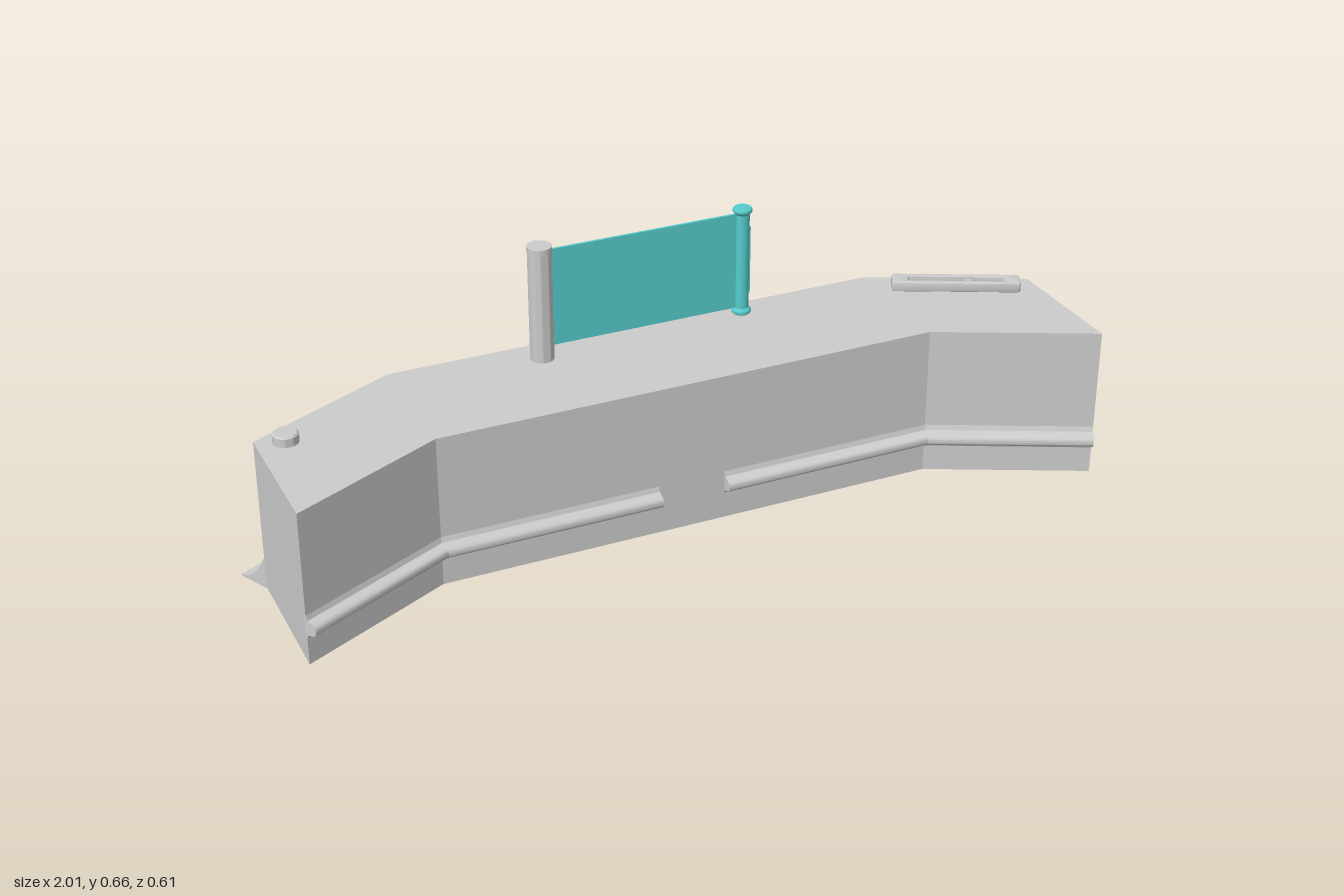
import * as THREE from 'three';
import { toCreasedNormals } from 'three/addons/utils/BufferGeometryUtils.js';

const grey = new THREE.MeshStandardMaterial({ color: 0xcccccc });
const teal = new THREE.MeshStandardMaterial({ color: 0x55cccc });
const black = new THREE.MeshStandardMaterial({ color: 0x080808 });
const TOP = 0.373;

const v2 = (x, y) => new THREE.Vector2(x, y);

function add(parent, name, geometry, material, x = 0, y = 0, z = 0) {
  const mesh = new THREE.Mesh(geometry, material);
  mesh.name = name;
  mesh.position.set(x, y, z);
  parent.add(mesh);
  return mesh;
}

// Sweep a closed [outward offset, height] profile along a plan path of [x, z], mitred at the bends.
function sweep(path, profile) {
  const normals = path.slice(1).map(([x, z], i) => v2(path[i][1] - z, x - path[i][0]).normalize());
  const pos = [], index = [], n = profile.length;
  path.forEach(([x, z], i) => {
    const a = normals[Math.max(i - 1, 0)], b = normals[Math.min(i, normals.length - 1)];
    const m = a.clone().add(b).divideScalar(1 + a.dot(b));
    for (const [o, y] of profile) pos.push(x + m.x * o, y, z + m.y * o);
  });
  for (let i = 0; i < path.length - 1; i++) {
    for (let j = 0; j < n; j++) {
      const k = (j + 1) % n, p = i * n, q = p + n;
      index.push(p + j, p + k, q + j, p + k, q + k, q + j);
    }
  }
  const last = (path.length - 1) * n;
  for (const [a, b, c] of THREE.ShapeUtils.triangulateShape(profile.map((p) => v2(...p)), [])) {
    index.push(a, b, c, last + c, last + b, last + a);
  }
  const g = new THREE.BufferGeometry();
  g.setAttribute('position', new THREE.Float32BufferAttribute(pos, 3));
  g.setIndex(index);
  return toCreasedNormals(g, 0.4);
}

// Extrude a plan shape drawn in (x, -z) straight up.
function extrudeUp(shape, depth, bevel = 0) {
  return new THREE.ExtrudeGeometry(shape, {
    depth: depth - 2 * bevel, bevelEnabled: bevel > 0, bevelSize: bevel, bevelThickness: bevel,
    bevelOffset: -bevel, bevelSegments: 3, curveSegments: 24,
  }).rotateX(-Math.PI / 2).translate(0, bevel, 0);
}

function roundRect(w, h, r, Type = THREE.Shape) {
  const s = new Type();
  s.absarc(w / 2 - r, h / 2 - r, r, 0, Math.PI / 2);
  s.absarc(r - w / 2, h / 2 - r, r, Math.PI / 2, Math.PI);
  s.absarc(r - w / 2, r - h / 2, r, Math.PI, Math.PI * 1.5);
  s.absarc(w / 2 - r, r - h / 2, r, Math.PI * 1.5, Math.PI * 2);
  s.closePath();
  return s;
}

export function createModel() {
  const model = new THREE.Group();
  model.name = 'counter';

  // Angled counter body
  const front = [[-0.97, 0.28], [-0.61, 0.105], [0.61, 0.105], [0.97, 0.28]];
  const back = [[0.97, -0.045], [0.61, -0.22], [-0.61, -0.22], [-0.97, -0.045]];
  const plan = new THREE.Shape([...front, ...back].map(([x, z]) => v2(x, -z)));
  add(model, 'body', extrudeUp(plan, TOP - 0.003), grey, 0, 0.003, 0);

  // Flared skirt along the back
  const flare = new THREE.QuadraticBezierCurve(v2(0.004, 0.075), v2(0.035, 0.008), v2(0.083, 0.005));
  const skirt = [[-0.004, 0.08], [0, 0.08], ...flare.getPoints(10).map((p) => [p.x, p.y]), [0.083, 0], [-0.004, 0]];
  add(model, 'backSkirt', sweep(back, skirt), grey);

  // Two bumper rails along the front, open in the middle
  const rail = [[-0.004, 0.125], [0, 0.125], [0.004, 0.113]];
  for (let i = 0; i <= 10; i++) {
    const a = Math.PI * (0.5 - i / 10);
    rail.push([0.014 + 0.015 * Math.cos(a), 0.095 + 0.015 * Math.sin(a)]);
  }
  rail.push([0.004, 0.077], [0, 0.068], [-0.004, 0.068]);
  add(model, 'rightFrontRail', sweep([front[0], front[1], [-0.085, 0.105]], rail), grey);
  add(model, 'leftFrontRail', sweep([[0.08, 0.105], front[2], front[3]], rail), grey);

  // Raised back door with a finger notch in its lower edge
  const doorShape = new THREE.Shape();
  const w = 0.49, lo = 0.1, hi = 0.313, r = 0.015;
  doorShape.moveTo(-w + r, lo);
  for (const [x, y] of [[-0.09, lo], [-0.07, lo + 0.025], [0.07, lo + 0.025], [0.09, lo], [w - r, lo]]) doorShape.lineTo(x, y);
  doorShape.quadraticCurveTo(w, lo, w, lo + r);
  doorShape.lineTo(w, hi - r);
  doorShape.quadraticCurveTo(w, hi, w - r, hi);
  doorShape.lineTo(-w + r, hi);
  doorShape.quadraticCurveTo(-w, hi, -w, hi - r);
  doorShape.lineTo(-w, lo + r);
  doorShape.quadraticCurveTo(-w, lo, -w + r, lo);
  const door = new THREE.ExtrudeGeometry(doorShape, {
    depth: 0.018, bevelSize: 0.008, bevelThickness: 0.007, bevelOffset: -0.008, bevelSegments: 3,
  });
  add(model, 'backDoor', door.rotateY(Math.PI), grey, 0, 0, -0.217);
  add(model, 'doorTab', new THREE.BoxGeometry(0.14, 0.02, 0.008), grey, 0, 0.115, -0.222);
  add(model, 'doorKnob', new THREE.SphereGeometry(0.015, 20, 14), black, 0.447, 0.291, -0.241);

  // Slotted housing post
  const post = new THREE.Shape();
  post.absarc(0, 0, 0.028, 0.25, Math.PI * 2 - 0.25);
  post.lineTo(0.012, -0.006);
  post.lineTo(0.012, 0.006);
  post.closePath();
  const barrier = new THREE.Group();
  barrier.name = 'pullOutBarrier';
  barrier.position.z = -0.15;
  model.add(barrier);
  add(barrier, 'housingPost', toCreasedNormals(extrudeUp(post, 0.275), 0.5), grey, -0.262, TOP, 0);
  add(barrier, 'housingCap', new THREE.CylinderGeometry(0.029, 0.029, 0.012, 32), grey, -0.262, 0.649, 0);

  // Thin screen and its end post with flared caps
  add(barrier, 'screen', new THREE.BoxGeometry(0.495, 0.24, 0.006), teal, -0.005, 0.522, 0);
  const half = [[0, 0.135], [0.02, 0.135], [0.023, 0.132], [0.023, 0.126], [0.017, 0.119]];
  const profile = [...half.map(([x, y]) => v2(x, -y)), ...half.map(([x, y]) => v2(x, y)).reverse()];
  add(barrier, 'endPost', toCreasedNormals(new THREE.LatheGeometry(profile, 28), 0.4), teal, 0.243, 0.521, 0);
  add(barrier, 'endPostGrip', new THREE.BoxGeometry(0.006, 0.17, 0.012), teal, 0.259, 0.521, 0);

  // Tray on the left wing
  const tray = new THREE.Group();
  tray.name = 'tray';
  tray.position.set(0.785, TOP, -0.076);
  tray.rotation.y = -Math.atan2(0.175, 0.36);
  model.add(tray);
  const rim = roundRect(0.31, 0.052, 0.008);
  rim.holes.push(roundRect(0.23, 0.022, 0.005, THREE.Path));
  add(tray, 'trayRim', toCreasedNormals(extrudeUp(rim, 0.025, 0.004), 0.5), grey);
  add(tray, 'trayFloor', new THREE.BoxGeometry(0.25, 0.01, 0.03), grey, 0, 0.005, 0);
  add(tray, 'trayBar', new THREE.BoxGeometry(0.012, 0.018, 0.03), grey, 0.03, 0.01, 0);

  // Round button on the right wing
  const button = [v2(0, 0.024), v2(0.025, 0.024), v2(0.029, 0.02), v2(0.029, 0)].reverse();
  add(model, 'button', toCreasedNormals(new THREE.LatheGeometry(button, 28), 0.5), grey, -0.905, TOP, -0.018);

  return model;
}
